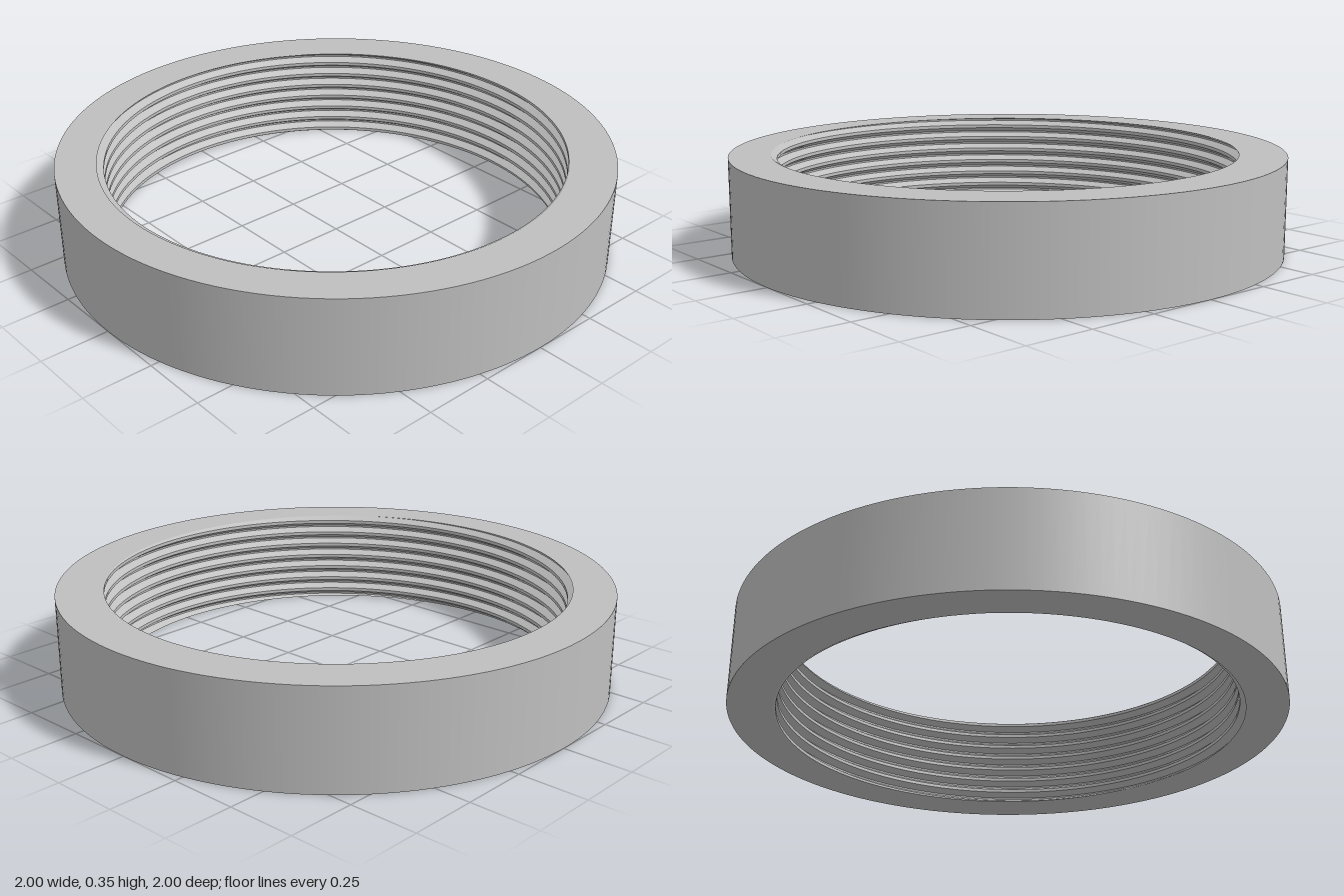
import * as THREE from 'three';

const HEIGHT = 0.355, OUTER = 1, MAJOR = 0.858, MINOR = 0.83;
const PITCH = 0.05, PHASE = 0.49, SEGMENTS = 144;

// Thread profile over one pitch: root flat, flank, crest flat, flank
const PROFILE = [[0, MAJOR], [0.125, MAJOR], [0.4375, MINOR], [0.6875, MINOR], [1, MAJOR]];

// Bore radius at a height and angle
function boreRadius(y, angle) {
  const t = y / PITCH - angle / (2 * Math.PI) + PHASE;
  const u = t - Math.floor(t);
  const i = PROFILE.findIndex((p, k) => k > 0 && u <= p[0]);
  const [u0, r0] = PROFILE[i - 1], [u1, r1] = PROFILE[i];
  return r0 + (r1 - r0) * (u - u0) / (u1 - u0);
}

// Band around the y axis between two edges, each edge(angle) => [radius, y]
function band(edgeA, edgeB) {
  const pos = [], index = [];
  for (let i = 0; i <= SEGMENTS; i++) {
    const a = i / SEGMENTS * 2 * Math.PI;
    for (const [r, y] of [edgeA(a), edgeB(a)]) pos.push(r * Math.cos(a), y, -r * Math.sin(a));
    if (i === SEGMENTS) continue;
    const k = i * 2;
    index.push(k, k + 2, k + 3, k, k + 3, k + 1);
  }
  const geo = new THREE.BufferGeometry();
  geo.setAttribute('position', new THREE.Float32BufferAttribute(pos, 3));
  geo.setIndex(index);
  geo.computeVertexNormals();
  return geo;
}

// Helical edge at thread coordinate t, trimmed to the ring's two end faces
const helix = t => a => {
  const y = THREE.MathUtils.clamp((t - PHASE + a / (2 * Math.PI)) * PITCH, 0, HEIGHT);
  return [boreRadius(y, a), y];
};

export function createModel() {
  const group = new THREE.Group();
  group.name = 'threadedRing';
  const metal = new THREE.MeshStandardMaterial({ color: 0xbfbfbf });
  metal.name = 'greyMetal';
  const add = (name, geo, parent = group) => {
    const mesh = new THREE.Mesh(geo, metal);
    mesh.name = name;
    parent.add(mesh);
    return mesh;
  };

  // Smooth outside wall
  add('outerWall', new THREE.CylinderGeometry(OUTER, OUTER, HEIGHT, SEGMENTS, 1, true))
    .position.y = HEIGHT / 2;

  // Flat end faces, meeting the thread at the bore
  add('topFace', band(() => [OUTER, HEIGHT], a => [boreRadius(HEIGHT, a), HEIGHT]));
  add('bottomFace', band(a => [boreRadius(0, a), 0], () => [OUTER, 0]));

  // Internal screw thread, one band per facet of each turn
  const thread = new THREE.Group();
  thread.name = 'internalThread';
  group.add(thread);
  const facets = ['Root', 'UpperFlank', 'Crest', 'LowerFlank'];
  for (let turn = -1; turn <= Math.ceil(HEIGHT / PITCH); turn++) {
    facets.forEach((name, j) => {
      add('thread' + name, band(helix(turn + PROFILE[j + 1][0]), helix(turn + PROFILE[j][0])), thread);
    });
  }
  return group;
}
